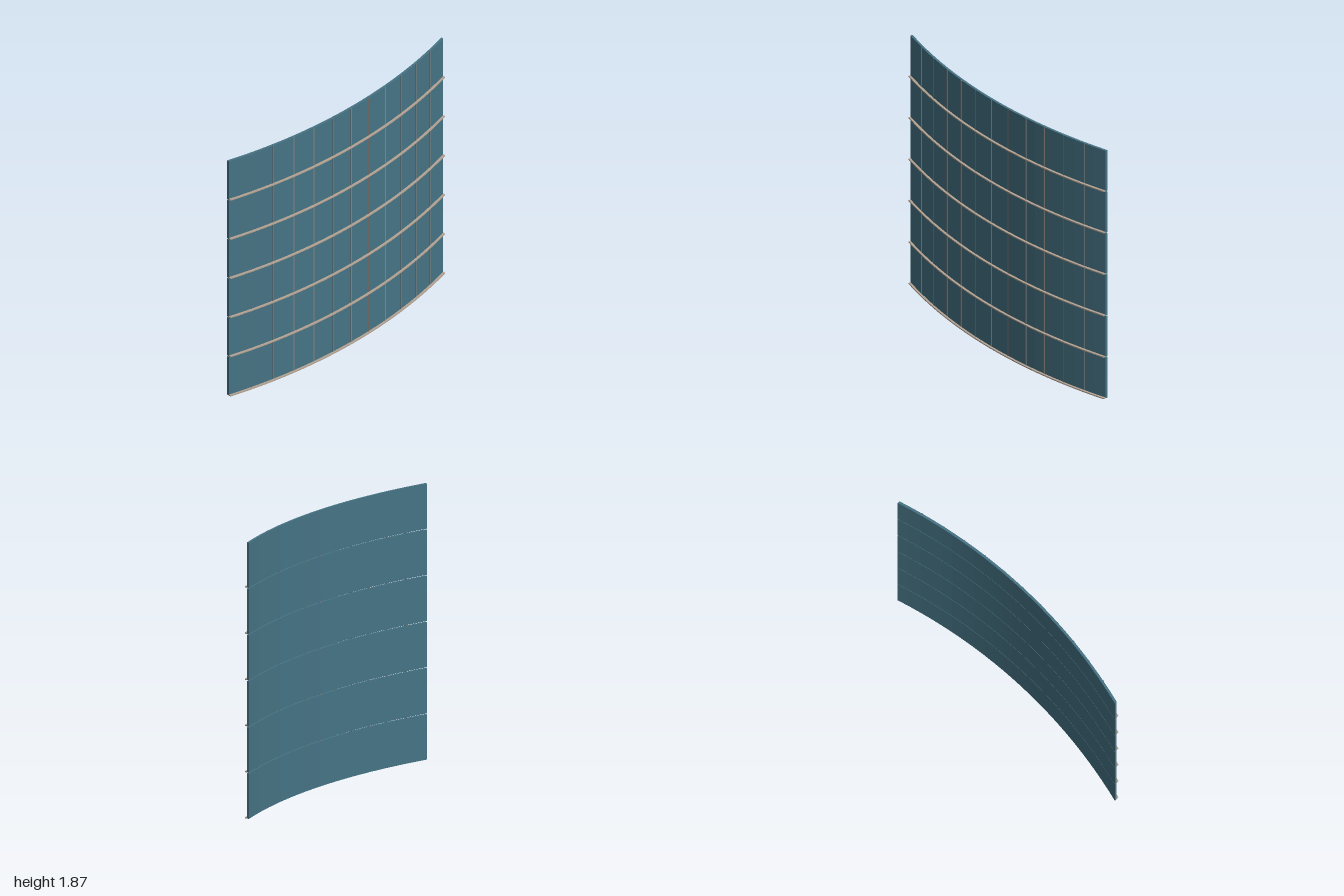
import * as THREE from 'three';

const STOREYS = 6, BAYS = 12, PITCH = 0.3125, GAP = 0.006;
const SAG = 0.139, BACK = 0.053, GLASS = 0.017, LEDGE = 0.033;
const R = (1 + SAG * SAG) / (2 * SAG);

// Depth of the inner face of the wall at a given x
const arcZ = (x) => BACK - R + Math.sqrt(R * R - x * x);

// Curved strip following the plan arc, between two depths and two heights
function curvedStrip(z0, z1, y0, y1, segments = BAYS * 2) {
  const shape = new THREE.Shape();
  for (let i = 0; i <= segments; i++) {
    const x = -1 + (2 * i) / segments;
    if (i === 0) shape.moveTo(x, -(arcZ(x) + z0));
    else shape.lineTo(x, -(arcZ(x) + z0));
  }
  for (let i = segments; i >= 0; i--) {
    const x = -1 + (2 * i) / segments;
    shape.lineTo(x, -(arcZ(x) + z1));
  }
  shape.closePath();
  const geo = new THREE.ExtrudeGeometry(shape, { depth: y1 - y0, bevelEnabled: false });
  return geo.rotateX(-Math.PI / 2).translate(0, y0, 0);
}

export function createModel() {
  const makeMaterial = (name, color) => {
    const mat = new THREE.MeshStandardMaterial({ color });
    mat.name = name;
    return mat;
  };
  const glass = makeMaterial('blue glass', 0x467485);
  const stone = makeMaterial('pale ledge', 0xb5a494);
  const metal = makeMaterial('grey metal', 0x88827b);

  const model = new THREE.Group();
  model.name = 'curvedCurtainWall';
  const add = (geo, mat, name) => {
    const mesh = new THREE.Mesh(geo, mat);
    mesh.name = name;
    model.add(mesh);
    return mesh;
  };

  // One glass band and one ledge per storey, with an open slit below each ledge
  for (let i = 0; i < STOREYS; i++) {
    const y = i * PITCH;
    add(curvedStrip(0, GLASS, y + 0.001, y + PITCH - GAP), glass, 'glassBand');
    add(curvedStrip(GLASS - 0.002, LEDGE, y, y + 0.008), stone, 'ledge');
  }

  // Upright mullions between bays, set through the glass and just proud of it
  const height = STOREYS * PITCH - GAP - 0.001;
  const inner = 0.003, outer = GLASS + 0.003;
  for (let i = 1; i < BAYS; i++) {
    const x = -1 + (2 * i) / BAYS;
    const bar = add(new THREE.BoxGeometry(0.007, height, outer - inner), metal, 'mullion');
    bar.position.set(x, height / 2, arcZ(x) + (inner + outer) / 2);
  }
  return model;
}
